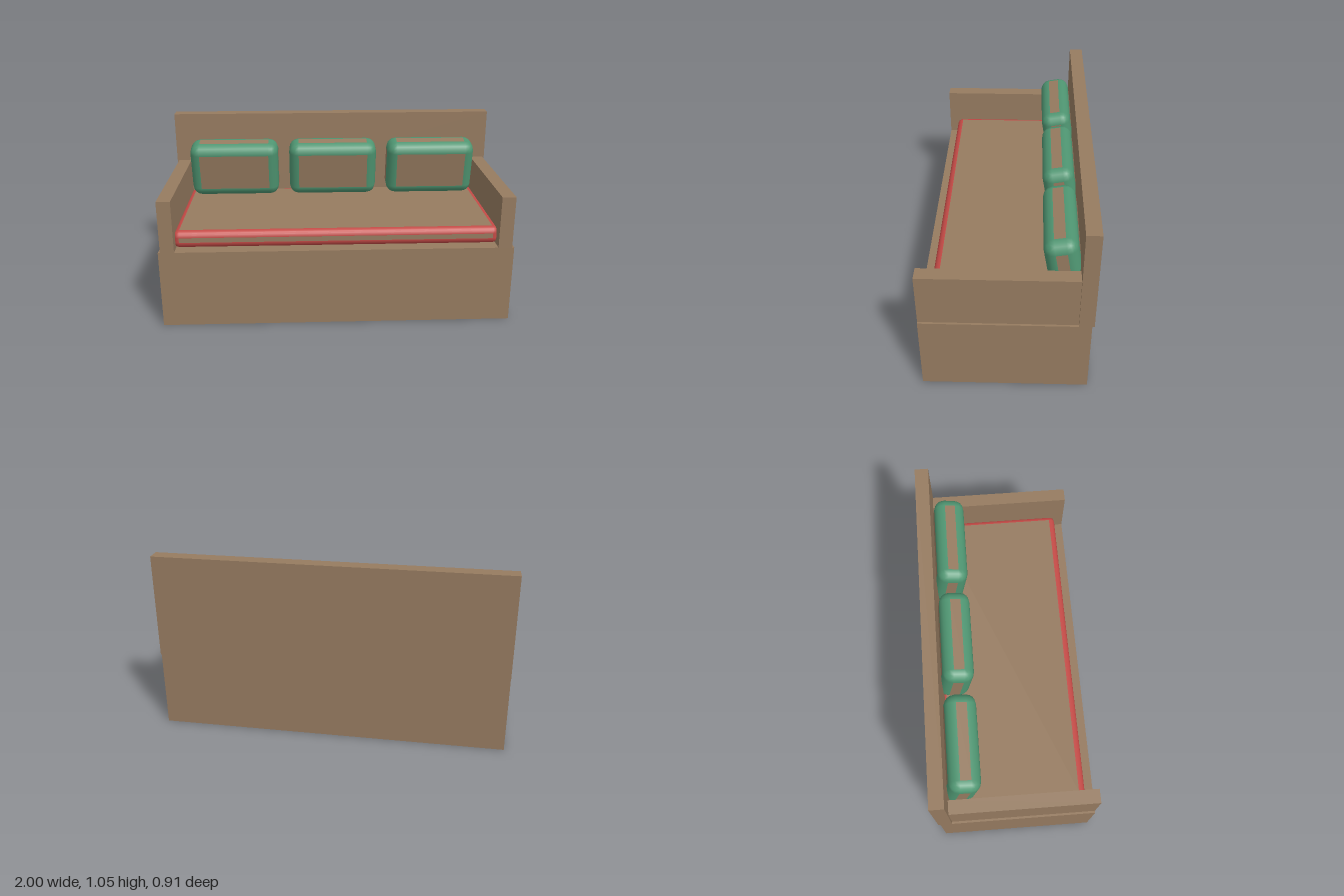
import * as THREE from 'three';
import { RoundedBoxGeometry } from 'three/addons/geometries/RoundedBoxGeometry.js';

const brown = new THREE.MeshStandardMaterial({ color: 0x967b60 });
const green = new THREE.MeshStandardMaterial({ color: 0x4f9672 });
const red = new THREE.MeshStandardMaterial({ color: 0xc44a46 });

// Box given by its lower and upper corners
function box(name, [x0, y0, z0], [x1, y1, z1]) {
  const mesh = new THREE.Mesh(new THREE.BoxGeometry(x1 - x0, y1 - y0, z1 - z0), brown);
  mesh.name = name;
  mesh.position.set((x0 + x1) / 2, (y0 + y1) / 2, (z0 + z1) / 2);
  return mesh;
}

// Rounded cushion: flat panels in brown, rounded rim in its own colour
function cushion(name, w, h, d, radius, rimMaterial) {
  const source = new RoundedBoxGeometry(w, h, d, 2, radius);
  const pos = source.attributes.position, nor = source.attributes.normal;
  const parts = { Panels: { p: [], n: [], mat: brown }, Rim: { p: [], n: [], mat: rimMaterial } };
  const tri = new THREE.Triangle(), normal = new THREE.Vector3();

  for (let i = 0; i < pos.count; i += 3) {
    tri.setFromAttributeAndIndices(pos, i, i + 1, i + 2);
    tri.getNormal(normal);
    const flat = Math.max(Math.abs(normal.x), Math.abs(normal.y), Math.abs(normal.z)) > 0.999;
    const part = flat ? parts.Panels : parts.Rim;
    for (let k = i; k < i + 3; k++) {
      part.p.push(pos.getX(k), pos.getY(k), pos.getZ(k));
      if (flat) part.n.push(normal.x, normal.y, normal.z);
      else part.n.push(nor.getX(k), nor.getY(k), nor.getZ(k));
    }
  }

  const group = new THREE.Group();
  group.name = name;
  for (const [suffix, { p, n, mat }] of Object.entries(parts)) {
    const geometry = new THREE.BufferGeometry();
    geometry.setAttribute('position', new THREE.Float32BufferAttribute(p, 3));
    geometry.setAttribute('normal', new THREE.Float32BufferAttribute(n, 3));
    const mesh = new THREE.Mesh(geometry, mat);
    mesh.name = name + suffix;
    group.add(mesh);
  }
  return group;
}

export function createModel() {
  const sofa = new THREE.Group();
  sofa.name = 'sofa';

  // Frame
  sofa.add(
    box('base', [-1, 0, -0.443], [1, 0.45, 0.455]),
    box('backrest', [-1, 0.45, -0.455], [1, 1.05, -0.375]),
    box('leftArm', [0.91, 0.45, -0.375], [0.988, 0.75, 0.455]),
    box('rightArm', [-0.988, 0.45, -0.375], [-0.91, 0.75, 0.455])
  );

  // Seat cushion, tucked slightly into the arms and backrest
  const seat = cushion('seatCushion', 1.85, 0.1, 0.8, 0.036, red);
  seat.position.set(0, 0.5, 0);
  sofa.add(seat);

  // Three back cushions, tilted forward
  ['right', 'middle', 'left'].forEach((side, i) => {
    const back = cushion(side + 'BackCushion', 0.55, 0.345, 0.18, 0.06, green);
    back.position.set((i - 1) * 0.62, 0.725, -0.294);
    back.rotation.x = 0.17;
    sofa.add(back);
  });

  return sofa;
}
